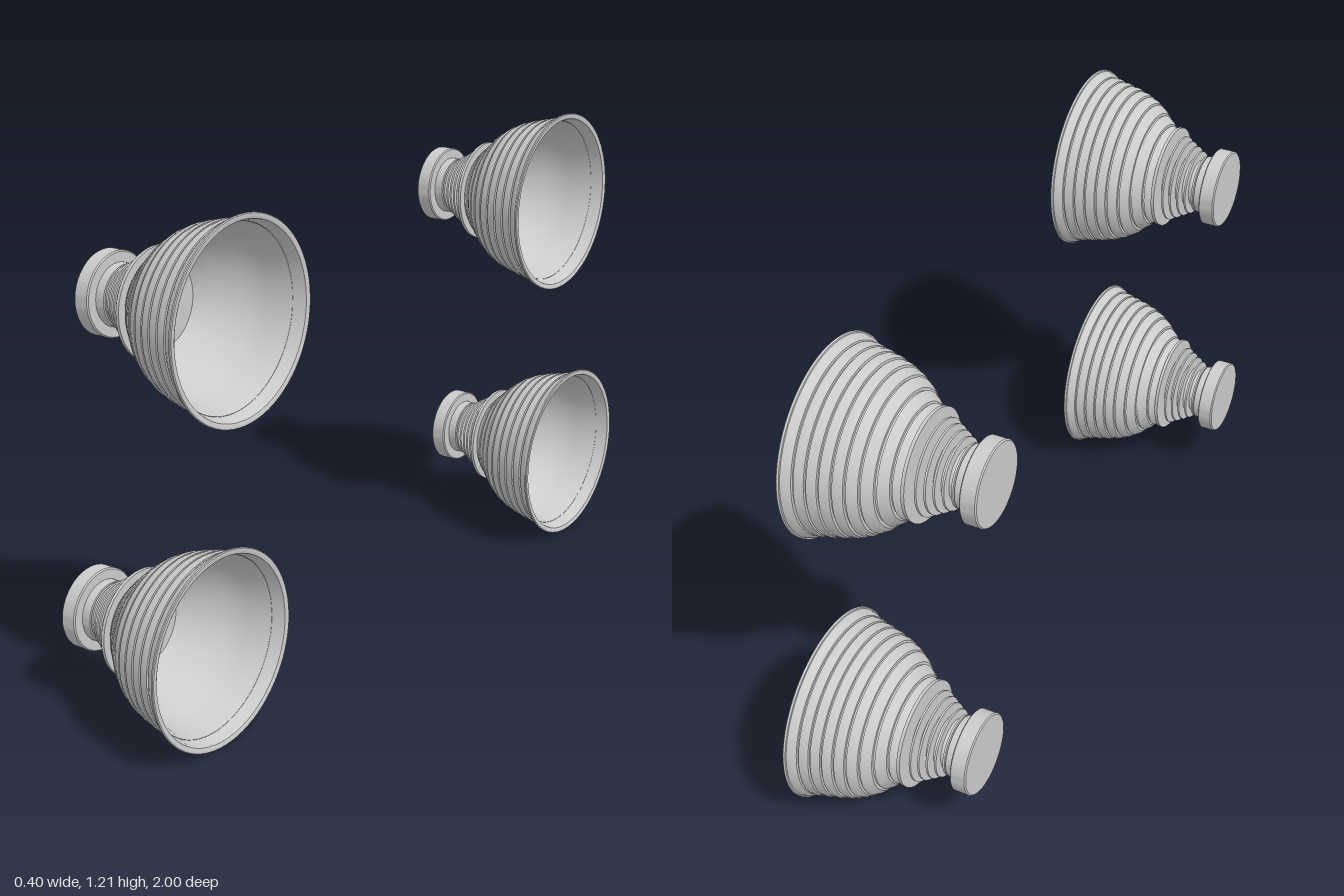
import * as THREE from 'three';
import { toCreasedNormals } from 'three/addons/utils/BufferGeometryUtils.js';

const SEGMENTS = 72;
const material = new THREE.MeshStandardMaterial({ color: 0xcccccc });

// Turned part about the x axis; profile is [x, radius] pairs
function turned(name, profile) {
  const pts = profile.map(([x, r]) => new THREE.Vector2(r, x));
  const geo = toCreasedNormals(new THREE.LatheGeometry(pts, SEGMENTS), 0.6);
  geo.rotateZ(-Math.PI / 2);
  const mesh = new THREE.Mesh(geo, material);
  mesh.name = name;
  return mesh;
}

function disc(name, x0, x1, r) {
  return turned(name, [[x0, 0], [x0, r], [x1, r], [x1, 0]]);
}

// Ribbed outer wall, rolled rim, smooth inner wall and throat floor
function bellProfile() {
  const starts = [-0.037, -0.014, 0.011, 0.037, 0.064, 0.091, 0.118, 0.145, 0.172];
  const low = [0.112, 0.133, 0.157, 0.178, 0.193, 0.202, 0.209, 0.215, 0.221];
  const high = [0.13, 0.152, 0.175, 0.19, 0.2, 0.208, 0.214, 0.22, 0.232];
  const p = [[-0.042, 0], [-0.042, 0.11]];
  starts.forEach((x, i) => {
    const end = i < 8 ? starts[i + 1] - 0.005 : 0.192;
    p.push([x, low[i]], [(x + end) / 2, (low[i] + high[i]) / 2 + 0.002], [end, high[i]]);
    if (i < 8) p.push([end, low[i + 1] - 0.009], [starts[i + 1], low[i + 1] - 0.007]);
  });
  p.push([0.193, 0.235], [0.198, 0.236], [0.2, 0.234], [0.2, 0.226]);
  const inner = new THREE.SplineCurve([
    [0.198, 0.222], [0.14, 0.205], [0.08, 0.188], [0.03, 0.158], [-0.005, 0.127], [-0.03, 0.103],
  ].map(([x, r]) => new THREE.Vector2(x, r)));
  inner.getPoints(16).forEach(v => p.push([v.x, v.y]));
  p.push([-0.03, 0]);
  return p;
}

function createNozzle() {
  const nozzle = new THREE.Group();

  // Mounting end
  nozzle.add(turned('mountingCap', [
    [-0.2, 0], [-0.2, 0.097], [-0.197, 0.1], [-0.162, 0.1], [-0.159, 0.097], [-0.159, 0],
  ]));
  nozzle.add(disc('collar', -0.16, -0.136, 0.074));

  // Tapered neck with thin cooling fins
  nozzle.add(turned('neck', [[-0.138, 0], [-0.138, 0.055], [-0.09, 0.065], [-0.04, 0.08], [-0.04, 0]]));
  for (let i = 0; i < 5; i++) {
    const x = -0.13 + i * 0.0168;
    nozzle.add(disc('neckFin' + (i + 1), x - 0.0025, x + 0.0025, 0.073 + i * 0.0095));
  }
  nozzle.add(disc('throatFlange', -0.047, -0.039, 0.131));

  nozzle.add(turned('bell', bellProfile()));
  return nozzle;
}

export function createModel() {
  const model = new THREE.Group();
  model.name = 'nozzleCluster';
  // Two pairs mirrored front to back, the lower pair set wider
  for (const [level, y, z] of [['upper', 0.977, 0.673], ['lower', 0.238, 0.764]]) {
    for (const side of [1, -1]) {
      const nozzle = createNozzle();
      nozzle.name = level + (side > 0 ? 'Front' : 'Back') + 'Nozzle';
      nozzle.position.set(0, y, side * z);
      model.add(nozzle);
    }
  }
  return model;
}
